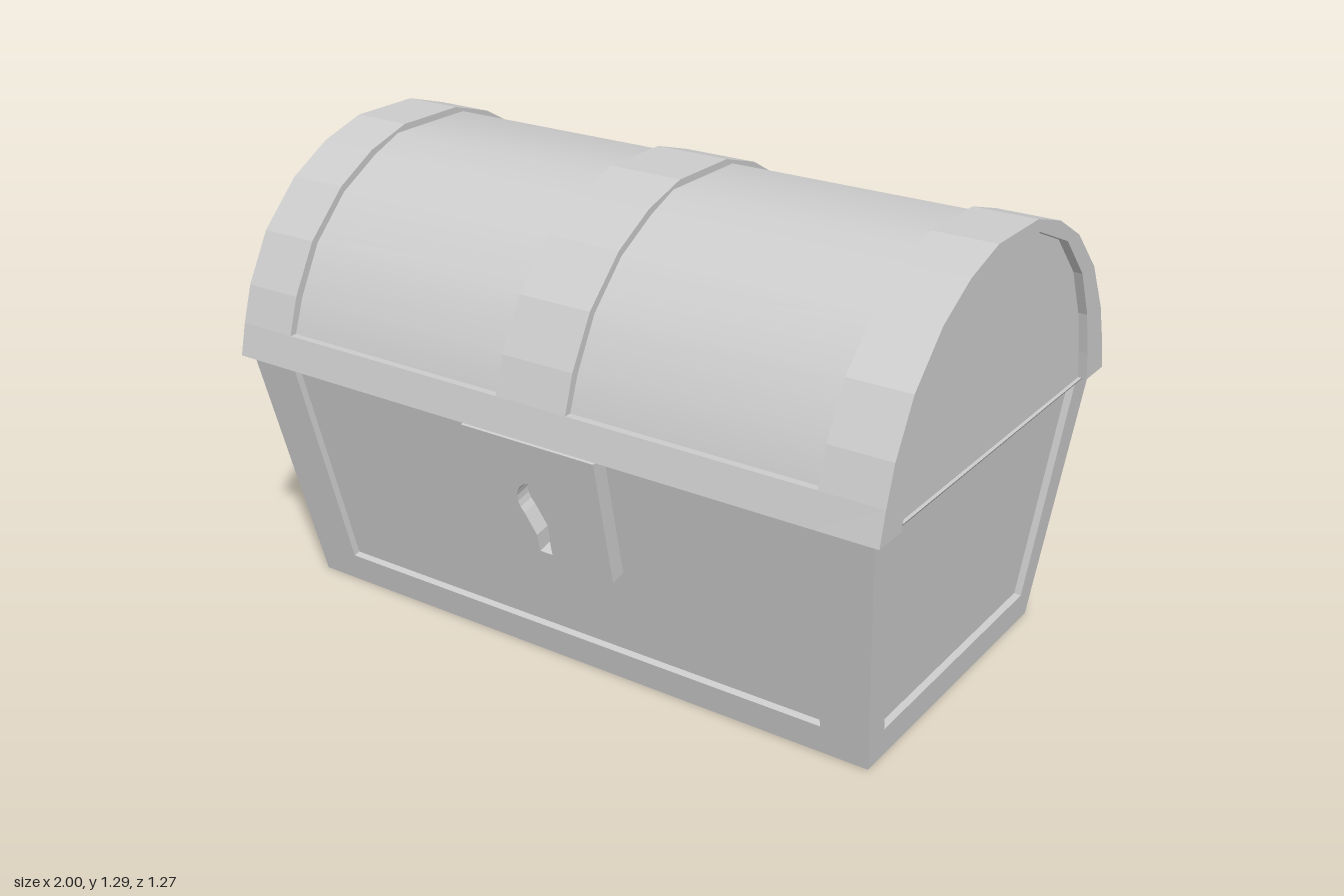
import * as THREE from 'three';
import { toCreasedNormals } from 'three/addons/utils/BufferGeometryUtils.js';

const V = (x, y, z) => new THREE.Vector3(x, y, z);

// half profiles of the lid (z, y), from the lip up to the crown
const OUTER = [[0.635, 0.72], [0.613, 0.81], [0.58, 0.913], [0.504, 1.05], [0.38, 1.172], [0.25, 1.245], [0.11, 1.287]];
const SKIN = [[0.612, 0.72], [0.592, 0.81], [0.558, 0.905], [0.485, 1.04], [0.37, 1.155], [0.24, 1.228], [0.14, 1.268]];
const INNER = [[0.53, 0.72], [0.515, 0.80], [0.487, 0.92], [0.426, 1.053], [0.307, 1.175], [0.126, 1.25]];

const mirrored = (half) => [...half, ...half.map(([z, y]) => [-z, y]).reverse()];
const shapeOf = (pts) => new THREE.Shape(pts.map(([a, b]) => new THREE.Vector2(a, b)));

// extrude a (z, y) outline along x between x0 and x1
function alongX(pts, x0, x1, smooth = false) {
  const g = new THREE.ExtrudeGeometry(shapeOf(pts), { depth: x1 - x0, bevelEnabled: false });
  g.rotateY(Math.PI / 2).translate(x0, 0, 0);
  return smooth ? toCreasedNormals(g, 0.5) : g;
}

// quad face with a raised frame around a sunken panel; corners run counter-clockwise
function panelFace(outer, inner, depth) {
  const normal = outer[1].clone().sub(outer[0]).cross(outer[3].clone().sub(outer[0])).normalize();
  const sunk = inner.map((p) => p.clone().addScaledVector(normal, -depth));
  const pos = [];
  const quad = (a, b, c, d) => [a, b, c, a, c, d].forEach((p) => pos.push(p.x, p.y, p.z));
  for (let i = 0; i < 4; i++) {
    const j = (i + 1) % 4;
    quad(outer[i], outer[j], inner[j], inner[i]);
    quad(inner[i], inner[j], sunk[j], sunk[i]);
  }
  quad(...sunk);
  const g = new THREE.BufferGeometry();
  g.setAttribute('position', new THREE.Float32BufferAttribute(pos, 3));
  g.computeVertexNormals();
  return g;
}

// sloping wall facing +z: half widths and distances at bottom and top
function wall(wB, wT, dB, dT, iB, iT) {
  const top = 0.71;
  const at = (x, y) => V(x, y, dB + (dT - dB) * y / top);
  return panelFace(
    [at(-wB, 0), at(wB, 0), at(wT, top), at(-wT, top)],
    [at(-iB, 0.088), at(iB, 0.088), at(iT, 0.705), at(-iT, 0.705)], 0.02);
}

export function createModel() {
  const model = new THREE.Group();
  const mat = new THREE.MeshStandardMaterial({ color: 0xcccccc });
  const add = (name, geo, parent = model) => {
    const mesh = new THREE.Mesh(geo, mat);
    mesh.name = name;
    parent.add(mesh);
    return mesh;
  };

  // body walls and base
  const body = new THREE.Group();
  body.name = 'body';
  model.add(body);
  for (const [i, side] of ['front', 'back'].entries()) {
    add(side + 'Wall', wall(0.91, 0.974, 0.46, 0.609, 0.78, 0.825), body).rotation.y = i * Math.PI;
  }
  for (const [side, s] of [['left', 1], ['right', -1]]) {
    add(side + 'Wall', wall(0.46, 0.609, 0.91, 0.974, 0.40, 0.515), body).rotation.y = s * Math.PI / 2;
  }
  const floorRect = (x, z) => [V(-x, 0, -z), V(x, 0, -z), V(x, 0, z), V(-x, 0, z)];
  add('base', panelFace(floorRect(0.91, 0.46), floorRect(0.78, 0.385), 0.02), body);

  // lid: curved skin, straps, rails and bevelled lip
  const lid = new THREE.Group();
  lid.name = 'lid';
  model.add(lid);
  add('lidSkin', alongX(mirrored(SKIN), -0.975, 0.975, true), lid);
  add('centerStrap', alongX(mirrored(OUTER), -0.11, 0.11), lid);
  const band = [...mirrored(OUTER), ...mirrored(INNER).reverse()];
  add('leftBand', alongX(band, 0.825, 1), lid);
  add('rightBand', alongX(band, -1, -0.825), lid);
  add('lidRail', alongX(mirrored(OUTER.slice(0, 2)), -0.83, 0.83), lid);

  const lip = new THREE.BoxGeometry(1.97, 0.015, 1.27).translate(0, 0.7125, 0);
  const p = lip.attributes.position;
  for (let i = 0; i < p.count; i++) {
    if (p.getY(i) < 0.71) p.setXYZ(i, p.getX(i) * 0.99, p.getY(i), p.getZ(i) * 0.96);
  }
  lip.computeVertexNormals();
  add('lidLip', lip, lid);

  // lock plate with keyhole, lying on the sloping front
  const tilt = Math.atan(0.149 / 0.71);
  const plate = shapeOf([[-0.21, 0.735], [-0.21, 0.362], [-0.075, 0.266], [0.075, 0.266], [0.21, 0.362], [0.21, 0.735]]);
  const hole = new THREE.Path();
  hole.moveTo(-0.02, 0.388);
  hole.lineTo(0.02, 0.388);
  hole.lineTo(0.02, 0.44);
  hole.absarc(0, 0.545, 0.064, -0.7, Math.PI + 0.7, false);
  hole.lineTo(-0.02, 0.44);
  hole.closePath();
  plate.holes.push(hole);
  const lock = add('lockPlate', new THREE.ExtrudeGeometry(plate, { depth: 0.046, bevelEnabled: false, curveSegments: 8 })
    .translate(0, 0, -0.021));
  lock.position.z = 0.46;
  lock.rotation.x = tilt;

  return model;
}
